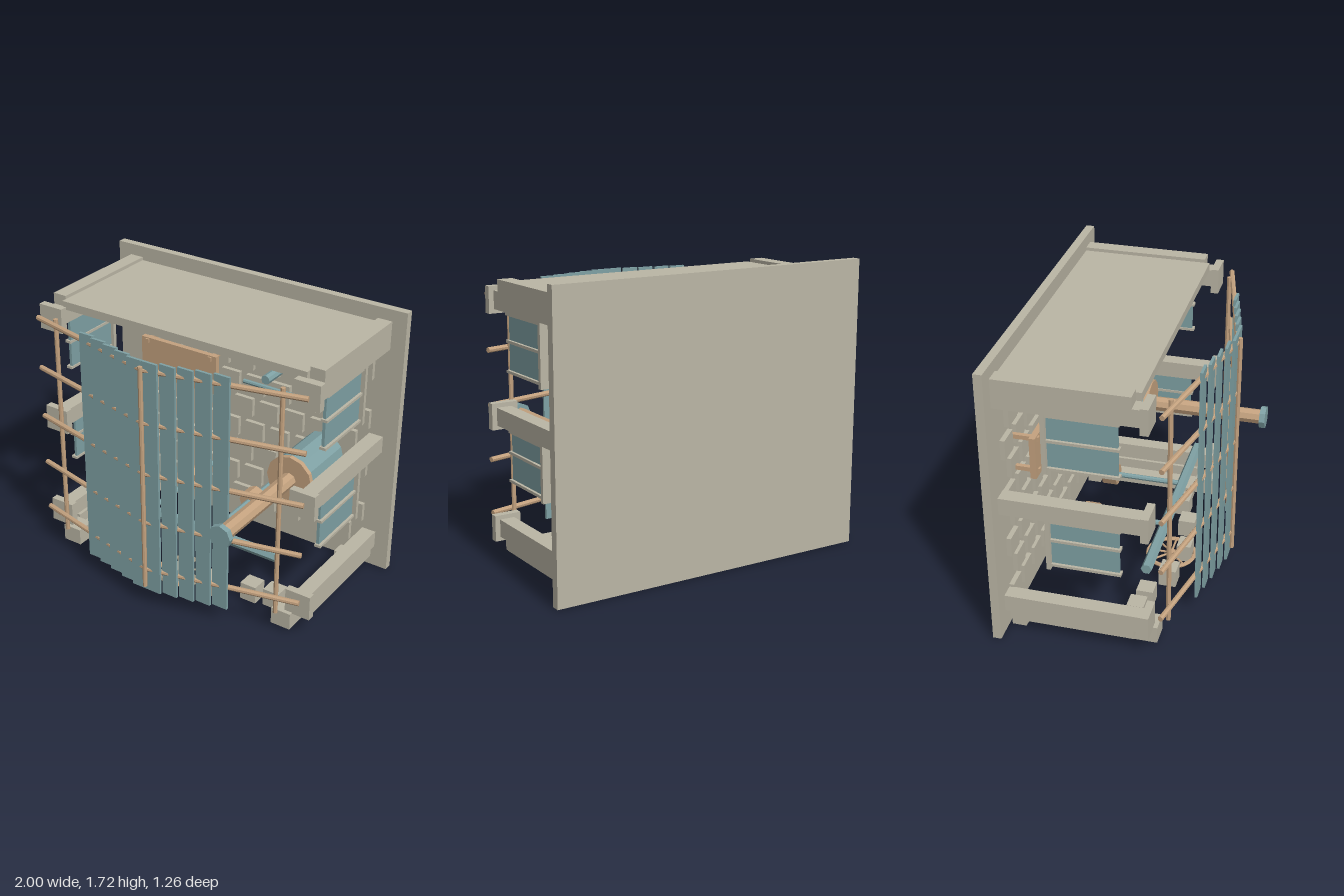
import * as THREE from 'three';

export function createModel() {
  const model = new THREE.Group();
  const mat = (name, color) => {
    const m = new THREE.MeshStandardMaterial({ color, flatShading: true });
    m.name = name;
    return m;
  };
  const stone = mat('stone', 0xbbb6a5);
  const teal = mat('teal', 0x7fa1a4);
  const wood = mat('wood', 0xc4a27f);

  const add = (name, geometry, material) => {
    const mesh = new THREE.Mesh(geometry, material);
    mesh.name = name;
    model.add(mesh);
    return mesh;
  };
  // Box given by its limits on each axis
  const box = (name, material, x0, x1, y0, y1, z0, z1) => {
    const mesh = add(name, new THREE.BoxGeometry(x1 - x0, y1 - y0, z1 - z0), material);
    mesh.position.set((x0 + x1) / 2, (y0 + y1) / 2, (z0 + z1) / 2);
    return mesh;
  };
  // Box on both sides, mirrored in x
  const pair = (name, material, x0, x1, ...rest) => {
    box(name, material, x0, x1, ...rest);
    box(name, material, -x1, -x0, ...rest);
  };
  // Round bar between two points
  const rod = (name, material, a, b, r, sides = 8) => {
    const p = new THREE.Vector3(...a), q = new THREE.Vector3(...b);
    const dir = q.clone().sub(p);
    const mesh = add(name, new THREE.CylinderGeometry(r, r, dir.length(), sides), material);
    mesh.position.copy(p).add(q).multiplyScalar(0.5);
    mesh.quaternion.setFromUnitVectors(new THREE.Vector3(0, 1, 0), dir.normalize());
    return mesh;
  };

  // Back wall with a staggered pattern of raised bricks
  box('backWall', stone, -1, 1, 0.01, 1.72, -0.63, -0.58);
  for (let row = 0; row < 9; row++) {
    for (let col = 0; col < 9; col++) {
      const x = -0.72 + col * 0.18 + (row % 2 ? 0.04 : -0.04);
      const y = 0.21 + row * 0.16;
      box('brick', stone, x - 0.065, x + 0.065, y - 0.06, y + 0.06, -0.58, -0.552);
    }
  }

  // Roof and its raised side edges
  box('roof', stone, -0.82, 0.82, 1.58, 1.63, -0.58, 0.2);
  pair('roofEdge', stone, 0.82, 0.91, 1.58, 1.65, -0.58, 0.17);

  // Side beams with square end caps
  for (const y of [0.2, 0.863, 1.53]) {
    pair('sideBeam', stone, 0.82, 0.91, y - 0.052, y + 0.052, -0.58, 0.22);
    pair('beamCap', stone, 0.78, 0.94, y - 0.077, y + 0.077, 0.22, 0.265);
  }

  // Base runners, feet and the row of blocks at the front
  pair('baseBeam', stone, 0.8, 0.9, 0.085, 0.15, -0.555, 0.17);
  pair('baseRunner', stone, 0.71, 0.83, 0.025, 0.085, -0.48, 0.17);
  pair('rearFoot', stone, 0.69, 0.85, 0.005, 0.085, -0.565, -0.48);
  pair('frontFoot', stone, 0.705, 0.83, 0.025, 0.13, 0.17, 0.29);
  pair('frontBlock', stone, 0.205, 0.315, 0.025, 0.135, 0.17, 0.275);
  pair('frontBlock', stone, 0.43, 0.535, 0.025, 0.135, 0.09, 0.19);
  pair('frontBlock', stone, 0.575, 0.68, 0.025, 0.135, 0.07, 0.17);
  box('frontBlock', stone, -0.053, 0.053, 0.025, 0.135, 0.22, 0.305);

  // Side shutters: panel, rails and post, in two storeys
  for (const [y0, y1, mid] of [[1.145, 1.475, 1.315], [0.515, 0.81, 0.68]]) {
    pair('shutterPanel', teal, 0.866, 0.884, y0, y1, -0.3, 0.09);
    for (const y of [y0, mid, y1 - 0.008]) {
      pair('shutterRail', stone, 0.86, 0.9, y - 0.008, y + 0.008, -0.3, 0.102);
    }
    pair('shutterPost', stone, 0.845, 0.91, y0 - 0.025, y1 + 0.02, -0.32, -0.295);
  }

  // Lattice of poles, bent forward at the middle
  for (let i = 0; i < 5; i++) {
    const y = 0.264 + i * 0.3215;
    for (const s of [-1, 1]) {
      rod('crossPole', wood, [s * 0.905, y, 0.325], [0, y, 0.535], 0.016);
    }
  }
  for (const s of [-1, 1]) rod('sidePole', wood, [s * 0.76, 0.15, 0.337], [s * 0.76, 1.58, 0.337], 0.014);
  rod('middlePole', wood, [0, 0.15, 0.55], [0, 1.575, 0.55], 0.014);

  // Ten upright planks stepped along the lattice
  for (let i = 0; i < 5; i++) {
    const z = 0.532 - i * 0.0235;
    pair('plank', teal, i * 0.1 + 0.0005, i * 0.1 + 0.0995, 0.122, 1.605, z - 0.008, z + 0.008);
  }

  // Wooden board on four pegs
  box('board', wood, -0.72, -0.16, 0.945, 1.2, -0.455, -0.42);
  for (const x of [-0.675, -0.205]) {
    for (const y of [0.98, 1.18]) {
      box('boardPeg', wood, x - 0.013, x + 0.013, y - 0.013, y + 0.013, -0.58, -0.41);
    }
  }

  // Rack on the right of the wall
  for (const x of [0.26, 0.497]) rod('rackPeg', teal, [x, 1.212, -0.58], [x, 1.212, -0.31], 0.029);
  rod('rackBar', teal, [0.1, 1.155, -0.33], [0.597, 1.155, -0.33], 0.014);
  rod('upperRackBar', teal, [0.1, 1.41, -0.322], [0.735, 1.41, -0.322], 0.006);
  rod('rackHook', teal, [0.57, 1.262, -0.34], [0.62, 1.262, -0.34], 0.006);

  // Drum with a long shaft and end cap
  rod('drum', teal, [0.57, 0.75, -0.49], [0.57, 0.75, -0.12], 0.135, 12);
  rod('drumFace', wood, [0.57, 0.75, -0.12], [0.57, 0.75, -0.09], 0.148, 12);
  rod('drumShaft', wood, [0.57, 0.75, -0.1], [0.57, 0.75, 0.6], 0.046);
  rod('shaftCap', teal, [0.57, 0.75, 0.6], [0.57, 0.75, 0.635], 0.07);

  // Low bar on two arms with collars
  rod('lowBar', teal, [-0.67, 0.405, 0.185], [0.67, 0.405, 0.185], 0.032, 6);
  for (const x of [-0.22, 0.22]) {
    rod('lowBarArm', teal, [x, 0.41, -0.53], [x, 0.41, 0.17], 0.016);
    rod('armCollar', wood, [x, 0.41, -0.31], [x, 0.41, -0.22], 0.066);
  }

  // Flat spoked wheel under the front
  const rim = add('wheelRim', new THREE.TorusGeometry(0.145, 0.013, 6, 24), wood);
  rim.rotation.x = Math.PI / 2;
  rim.position.set(0, 0.037, 0.175);
  rod('wheelHub', wood, [0, 0.024, 0.175], [0, 0.05, 0.175], 0.025);
  for (let i = 0; i < 4; i++) {
    const a = (i * Math.PI) / 4, c = Math.cos(a) * 0.145, s = Math.sin(a) * 0.145;
    rod('wheelSpoke', wood, [-c, 0.037, 0.175 - s], [c, 0.037, 0.175 + s], 0.007, 6);
  }

  return model;
}
